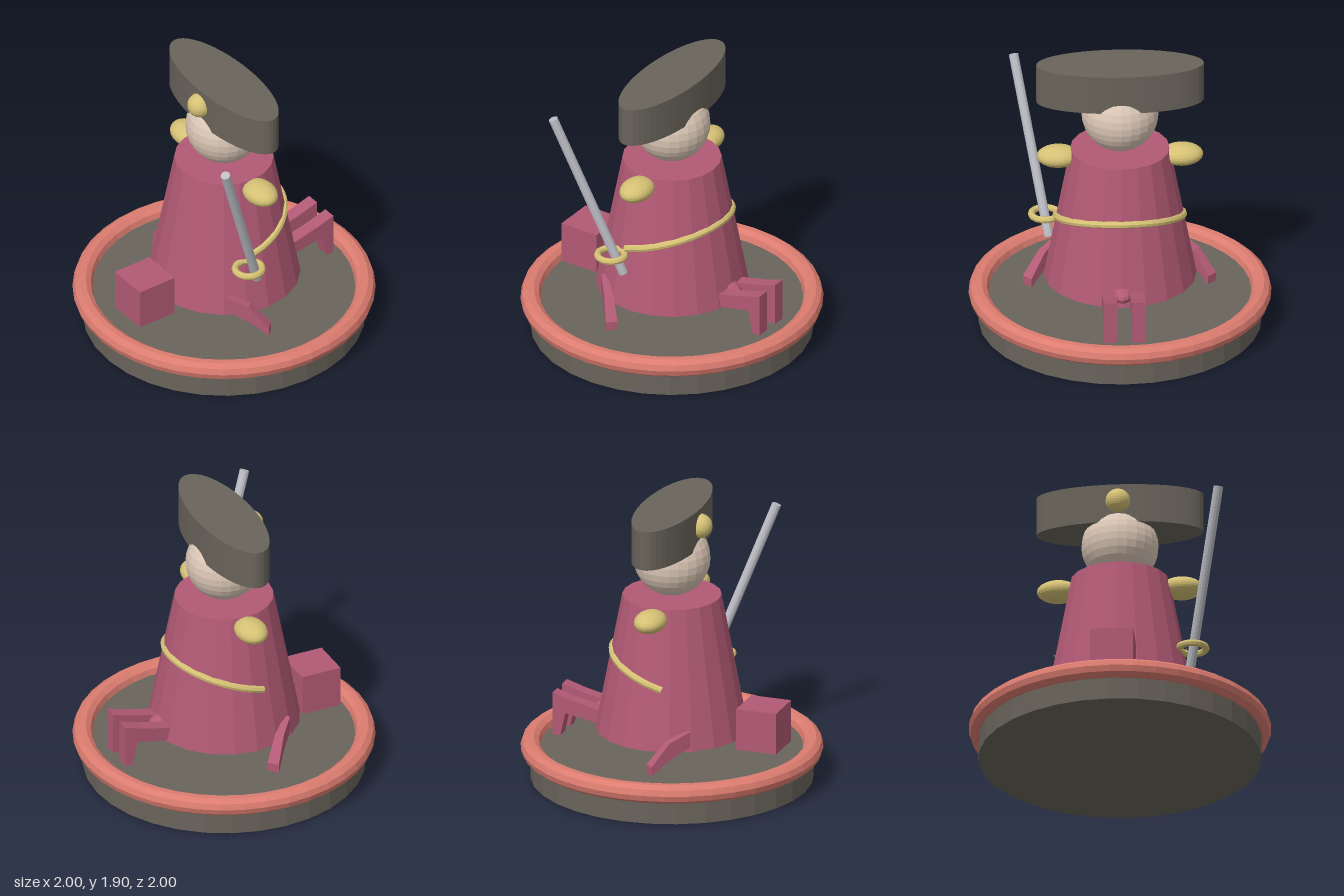
import * as THREE from 'three';
import { ConvexGeometry } from 'three/addons/geometries/ConvexGeometry.js';

const material = (name, color) => {
  const m = new THREE.MeshStandardMaterial({ color, flatShading: true });
  m.name = name;
  return m;
};

export function createModel() {
  const root = new THREE.Group();
  const charcoal = material('charcoal', 0x69645b);
  const coral = material('coral', 0xdc7c70);
  const crimson = material('crimson', 0xb25a75);
  const gold = material('gold', 0xd5c174);
  const skin = material('skin', 0xdcc8b7);
  const steel = material('steel', 0xbcbec4);

  const add = (name, geometry, mat, x = 0, y = 0, z = 0, parent = root) => {
    const mesh = new THREE.Mesh(geometry, mat);
    mesh.name = name;
    mesh.position.set(x, y, z);
    parent.add(mesh);
    return mesh;
  };
  const ball = (rx, ry, rz) => new THREE.SphereGeometry(1, 24, 16).scale(rx, ry, rz);
  const flatRing = (r, tube, sides, segs) =>
    new THREE.TorusGeometry(r, tube, sides, segs).rotateX(Math.PI / 2);

  // Round stand with rim
  add('base', new THREE.CylinderGeometry(0.935, 0.935, 0.215, 32), charcoal, 0, 0.1075, 0);
  add('baseRim', flatRing(0.933, 0.067, 10, 40), coral, 0, 0.215, 0);

  // Coat, head and wide oval hat
  add('coat', new THREE.CylinderGeometry(0.328, 0.505, 0.935, 20), crimson, 0, 0.8125, 0);
  add('head', ball(0.255, 0.255, 0.255), skin, 0, 1.535, 0);
  add('hat', new THREE.CylinderGeometry(1, 1, 0.27, 48).scale(0.553, 1, 0.2), charcoal, 0, 1.765, 0);
  add('hatBadge', ball(0.082, 0.082, 0.082), gold, 0, 1.78, 0.198);
  for (const s of [-1, 1]) {
    add(s > 0 ? 'leftEpaulette' : 'rightEpaulette', ball(0.142, 0.073, 0.105), gold, s * 0.408, 1.222, 0);
  }

  // Cord dropping from the back of the coat to both sides
  const cord = [];
  for (let i = 0; i <= 12; i++) {
    const t = -0.2 + (i / 12) * (Math.PI + 0.4);
    const r = 0.42 - 0.028 * Math.sin(t);
    cord.push(new THREE.Vector3(r * Math.cos(t), 0.775 + 0.13 * Math.sin(t), -r * Math.sin(t)));
  }
  add('cord', new THREE.TubeGeometry(new THREE.CatmullRomCurve3(cord), 30, 0.025, 8), gold);

  // Sabre: blade between two points, with a flat ring guard
  const hilt = new THREE.Vector3(0.468, 0.59, 0.07);
  const tip = new THREE.Vector3(0.685, 1.733, 0.482);
  const dir = tip.clone().sub(hilt);
  const mid = hilt.clone().add(tip).multiplyScalar(0.5);
  const blade = add('sabreBlade', new THREE.CylinderGeometry(0.032, 0.032, dir.length(), 12), steel, mid.x, mid.y, mid.z);
  blade.quaternion.setFromUnitVectors(new THREE.Vector3(0, 1, 0), dir.normalize());
  add('sabreGuard', flatRing(0.09, 0.023, 8, 24), gold, 0.49, 0.712, 0.152);

  // Mount under the coat: belly, neck and block head
  add('mountBelly', ball(0.13, 0.1, 0.45), crimson, 0, 0.42, -0.1);
  add('mountNeck', new THREE.BoxGeometry(0.085, 0.14, 0.2), crimson, 0, 0.42, 0.45);
  add('mountHead', new THREE.BoxGeometry(0.285, 0.285, 0.28), crimson, 0, 0.438, 0.645);

  // Hind legs: bent side outline given thickness across x
  const outline = [[0.4, 0.43], [0.66, 0.49], [0.79, 0.53], [0.79, 0.235], [0.735, 0.235], [0.7, 0.395], [0.4, 0.34]];
  const legShape = new THREE.Shape(outline.map(([back, y]) => new THREE.Vector2(back, y)));
  const hindLeg = new THREE.ExtrudeGeometry(legShape, { depth: 0.09, bevelEnabled: false })
    .translate(0, 0, -0.045).rotateY(Math.PI / 2);
  for (const s of [-1, 1]) add(s > 0 ? 'leftHindLeg' : 'rightHindLeg', hindLeg, crimson, s * 0.092, 0, 0);

  // Fore legs splayed out to the sides: two tapered links between sections
  // section: x, y, z, half width, half height
  const sections = [[0.4, 0.43, 0.27, 0.02, 0.055], [0.51, 0.37, 0.16, 0.03, 0.06], [0.61, 0.255, 0.065, 0.04, 0.03]];
  const corners = ([x, y, z, w, h], s) => [[-1, -1], [1, -1], [1, 1], [-1, 1]].map(
    ([a, b]) => new THREE.Vector3(s * (x + a * w * 0.7), y + b * h, z + a * w * 0.7));
  for (const s of [-1, 1]) {
    const leg = new THREE.Group();
    leg.name = s > 0 ? 'leftForeLeg' : 'rightForeLeg';
    root.add(leg);
    ['upperLeg', 'lowerLeg'].forEach((name, i) => {
      const points = [...corners(sections[i], s), ...corners(sections[i + 1], s)];
      add(name, new ConvexGeometry(points), crimson, 0, 0, 0, leg);
    });
  }
  return root;
}
